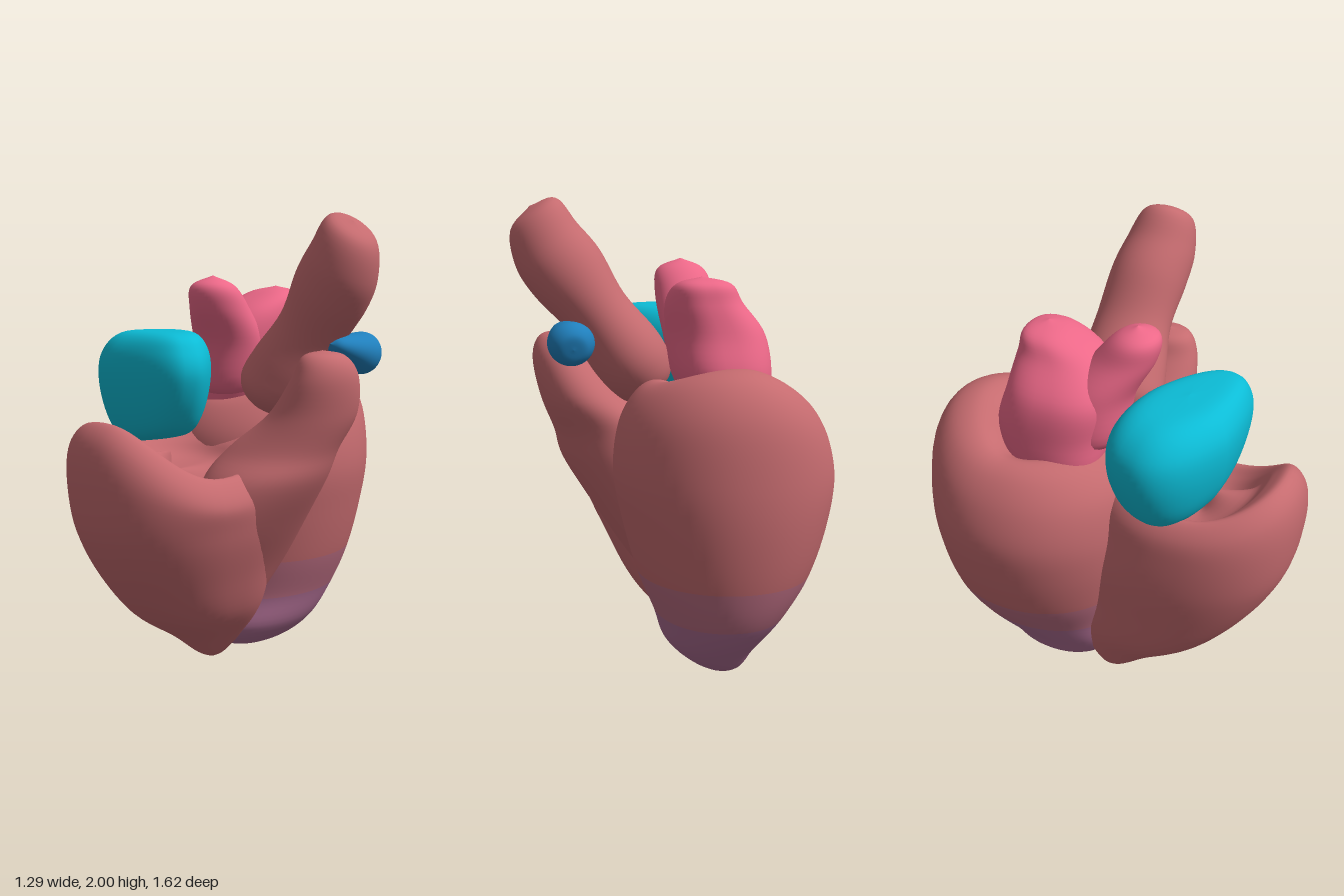
import * as THREE from 'three';

const MUSCLE = 0xc56b6f, APEX = 0xab6c90, BLEND = 0xb86c80;
const PINK = 0xec6888, TEAL = 0x0cbcd6, BLUE = 0x2080bd;
const SEG = 56, STEPS = 6;
const smooth = THREE.MathUtils.smoothstep;

// Smooth skin over rings of [x, y, z, radiusX, radiusZ]; n is the roundness
// of each section and warp(point, angle) may move points afterwards.
function loft(rings, n = 2, warp = null) {
  const centres = new THREE.CatmullRomCurve3(
    rings.map(r => new THREE.Vector3(r[0], r[1], r[2])), false, 'catmullrom');
  const radii = new THREE.CatmullRomCurve3(
    rings.map(r => new THREE.Vector3(r[3], r[4], 0)), false, 'catmullrom');
  const rows = (rings.length - 1) * STEPS;
  const pos = [], index = [], v = new THREE.Vector3();
  const bend = c => Math.sign(c) * Math.pow(Math.abs(c), 2 / n);
  for (let i = 0; i <= rows; i++) {
    const c = centres.getPoint(i / rows), r = radii.getPoint(i / rows);
    for (let j = 0; j < SEG; j++) {
      const a = j / SEG * Math.PI * 2;
      v.set(c.x + Math.max(r.x, 0.001) * bend(Math.cos(a)), c.y,
        c.z + Math.max(r.y, 0.001) * bend(Math.sin(a)));
      if (warp) warp(v, a);
      pos.push(v.x, v.y, v.z);
      if (i === rows) continue;
      const k = (j + 1) % SEG, p = i * SEG, q = p + SEG;
      index.push(p + j, q + j, p + k, p + k, q + j, q + k);
    }
  }
  const geo = new THREE.BufferGeometry();
  geo.setAttribute('position', new THREE.Float32BufferAttribute(pos, 3));
  geo.setIndex(index);
  geo.computeVertexNormals();
  return geo;
}

// The rows of a loft between two of its rings
function slice(geo, from, to) {
  const part = geo.clone(), per = SEG * STEPS * 6;
  part.setIndex(Array.from(geo.index.array.slice(from * per, to * per)));
  return part;
}

export function createModel() {
  const model = new THREE.Group();
  model.name = 'heart';
  const add = (name, geo, color) => {
    const mesh = new THREE.Mesh(geo, new THREE.MeshStandardMaterial({ color }));
    mesh.name = name;
    model.add(mesh);
    return mesh;
  };

  // Left ventricle: thick cup, rim highest at the back and lowest on the -x side
  const left = loft([
    [-0.2, 0.02, -0.25, 0, 0],
    [-0.18, 0.05, -0.26, 0.1, 0.18],
    [-0.15, 0.15, -0.27, 0.19, 0.29],
    [-0.17, 0.3, -0.33, 0.27, 0.35],
    [-0.185, 0.48, -0.345, 0.36, 0.405],
    [-0.19, 0.7, -0.345, 0.425, 0.45],
    [-0.185, 0.9, -0.345, 0.455, 0.465],
    [-0.18, 1.1, -0.345, 0.425, 0.445],
    [-0.18, 1.23, -0.345, 0.355, 0.365],
    [-0.18, 1.275, -0.34, 0.27, 0.25],
    [-0.19, 1.23, -0.32, 0.18, 0.17],
    [-0.2, 1.14, -0.31, 0.13, 0.13],
    [-0.2, 1.1, -0.31, 0, 0],
  ], 2.05, (v, a) => {
    const back = Math.max(-Math.sin(a), 0) ** 2, front = Math.max(Math.sin(a), 0) ** 2;
    const side = Math.max(-Math.cos(a), 0) ** 2;
    v.y += (0.075 * back - 0.07 * side - 0.06 * front) * smooth(v.y, 0.7, 1.25);
  });
  add('leftVentricleApex', slice(left, 0, 3), APEX);
  add('leftVentricleBlend', slice(left, 3, 4), BLEND);
  add('leftVentricle', slice(left, 4, 12), MUSCLE);

  // Right ventricle: open pouch, high at the front and low on the +x side
  add('rightVentricle', loft([
    [-0.2, 0, 0, 0, 0],
    [-0.19, 0.04, 0.02, 0.06, 0.07],
    [-0.165, 0.15, 0.06, 0.14, 0.18],
    [-0.13, 0.3, 0.16, 0.24, 0.31],
    [-0.1, 0.5, 0.25, 0.31, 0.4],
    [-0.075, 0.7, 0.31, 0.37, 0.455],
    [-0.06, 0.88, 0.36, 0.39, 0.45],
    [-0.06, 1.0, 0.37, 0.375, 0.425],
    [-0.06, 1.07, 0.37, 0.32, 0.36],
    [-0.06, 1.03, 0.37, 0.26, 0.29],
    [-0.06, 0.96, 0.37, 0.17, 0.21],
    [-0.06, 0.94, 0.37, 0, 0],
  ], 2.25, (v, a) => {
    const front = Math.max(Math.sin(a), 0) ** 2;
    const side = Math.max(Math.cos(a), 0) ** 2;
    v.y += (0.11 * front - 0.12 * side) * smooth(v.y, 0.7, 1.05);
  }), MUSCLE);

  // Outflow funnel: broad below, where it fills the +x wall, narrow above
  add('outflowFunnel', loft([
    [-0.13, 0.12, 0.06, 0.03, 0.05],
    [-0.07, 0.3, 0.1, 0.13, 0.21],
    [0.01, 0.5, 0.08, 0.17, 0.28],
    [0.1, 0.7, 0.08, 0.21, 0.3],
    [0.18, 0.9, 0.05, 0.25, 0.28],
    [0.24, 1.03, 0, 0.23, 0.235],
    [0.36, 1.18, -0.045, 0.17, 0.205],
    [0.44, 1.34, -0.03, 0.12, 0.16],
    [0.45, 1.43, -0.01, 0.08, 0.1],
    [0.45, 1.455, 0, 0, 0],
  ]), MUSCLE);

  // Great artery: slanted tube with rounded ends
  const artery = add('greatArtery', loft([
    [0, -0.03, 0, 0, 0],
    [0, 0, 0, 0.1, 0.11],
    [0, 0.08, 0, 0.15, 0.18],
    [0, 0.2, -0.02, 0.16, 0.19],
    [0, 0.4, -0.025, 0.14, 0.165],
    [0, 0.6, -0.005, 0.165, 0.165],
    [0, 0.74, 0.015, 0.155, 0.15],
    [-0.03, 0.87, 0.03, 0.115, 0.105],
    [-0.04, 0.905, 0.035, 0, 0],
  ]), MUSCLE);
  artery.position.set(0.07, 1.21, -0.085);
  artery.rotation.z = -0.62;

  // Right atrium: boxy pillow, deeper on the -x side and tapering to +x
  const atrium = add('rightAtrium', loft([
    [0, -0.23, 0, 0, 0],
    [0, -0.22, 0, 0.2, 0.12],
    [0, -0.13, 0, 0.3, 0.185],
    [0, 0.02, 0, 0.36, 0.22],
    [0, 0.14, 0, 0.34, 0.21],
    [0.02, 0.22, 0, 0.24, 0.14],
    [0.02, 0.235, 0, 0, 0],
  ], 2.5, v => {
    v.y = v.y * (1 - 0.4 * v.x) + 0.13 * v.x;
    v.z *= 1 - 1.1 * Math.max(v.x, 0);
  }), TEAL);
  atrium.position.set(-0.18, 1.29, 0.33);
  atrium.rotation.y = -0.36;

  // Left atrium: main body with a back hump, and a front lobe
  add('leftAtrium', loft([
    [-0.25, 1.08, -0.22, 0, 0],
    [-0.24, 1.12, -0.22, 0.14, 0.18],
    [-0.2, 1.28, -0.24, 0.2, 0.24],
    [-0.18, 1.45, -0.21, 0.2, 0.23],
    [-0.125, 1.58, -0.24, 0.155, 0.18],
    [-0.11, 1.66, -0.3, 0.11, 0.1],
    [-0.1, 1.69, -0.31, 0, 0],
  ], 2.4), PINK);
  add('leftAtriumFrontLobe', loft([
    [-0.18, 1.2, -0.12, 0, 0],
    [-0.18, 1.25, -0.11, 0.14, 0.16],
    [-0.15, 1.45, -0.06, 0.16, 0.15],
    [-0.11, 1.6, 0.035, 0.13, 0.13],
    [-0.1, 1.7, 0.085, 0.1, 0.09],
    [-0.1, 1.745, 0.085, 0, 0],
  ]), PINK);

  // Small ear-shaped appendage, pointed forward and blunt behind
  const ear = add('leftAppendage', loft([
    [0, 0, 0, 0, 0],
    [0, 0.03, 0, 0.05, 0.035],
    [0, 0.13, 0, 0.085, 0.07],
    [0, 0.21, 0, 0.095, 0.09],
    [0, 0.265, 0, 0.06, 0.06],
    [0, 0.275, 0, 0, 0],
  ]), BLUE);
  ear.position.set(0.43, 1.475, -0.07);
  ear.rotation.x = -Math.PI / 2 - 0.25;

  return model;
}
